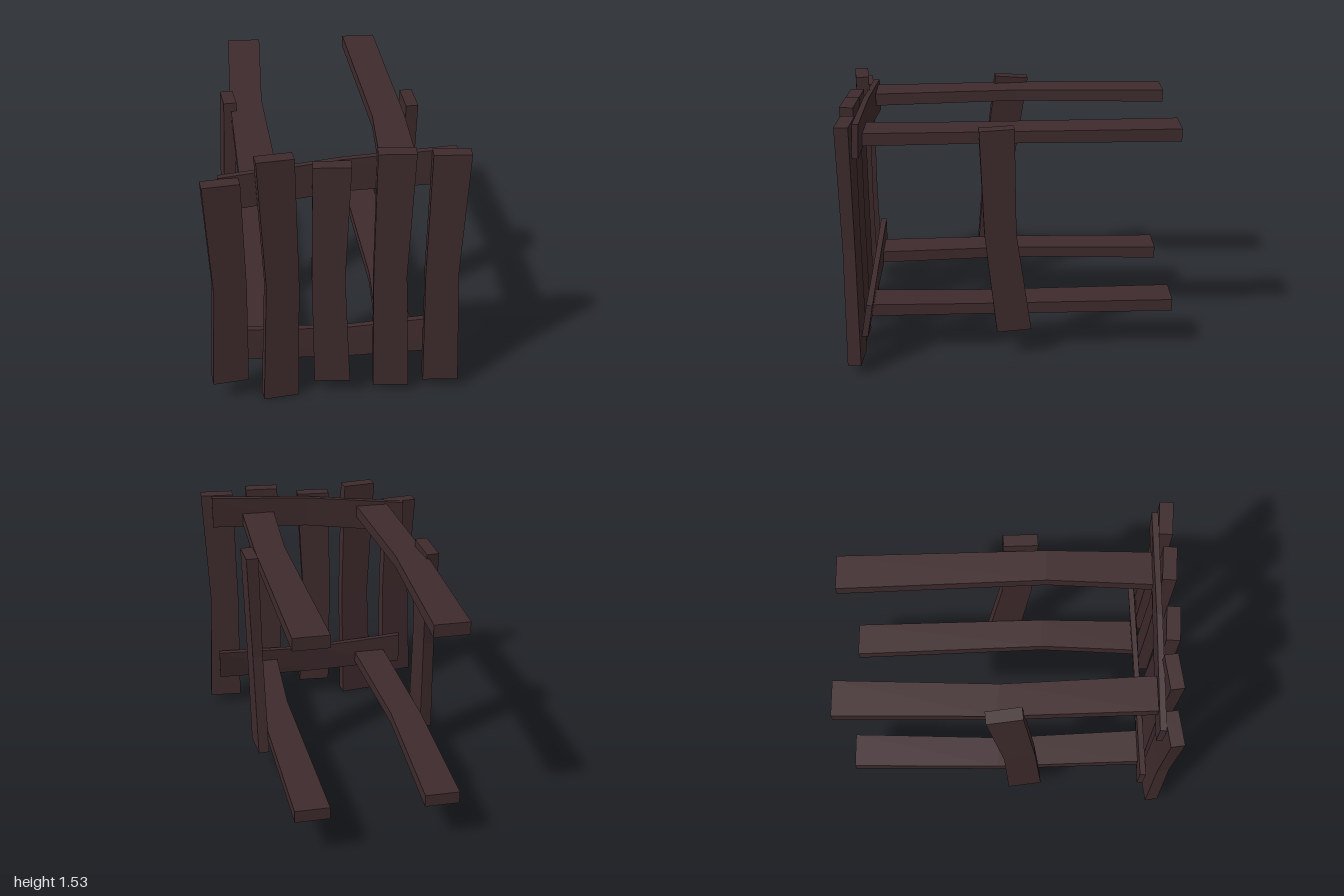
import * as THREE from 'three';

const V = (a) => new THREE.Vector3(...a);

// Bent plank: lofts rectangular sections [centre, full width vector, full thickness vector]
function plank(name, sections, material) {
  const length = V(sections[sections.length - 1][0]).sub(V(sections[0][0]));
  const positions = [];
  const index = [];
  sections.forEach(([centre, width, thick]) => {
    const c = V(centre), w = V(width).multiplyScalar(0.5), t = V(thick).multiplyScalar(0.5);
    if (w.clone().cross(t).dot(length) < 0) t.negate();
    [[-1, -1], [1, -1], [1, 1], [-1, 1]].forEach(([a, b]) => {
      positions.push(...c.clone().addScaledVector(w, a).addScaledVector(t, b).toArray());
    });
  });
  const last = (sections.length - 1) * 4;
  for (let s = 0; s < last; s += 4) {
    for (let i = 0; i < 4; i++) {
      const a = s + i, b = s + (i + 1) % 4;
      index.push(a, b, b + 4, a, b + 4, a + 4);
    }
  }
  index.push(0, 2, 1, 0, 3, 2, last, last + 1, last + 2, last, last + 2, last + 3);
  const indexed = new THREE.BufferGeometry();
  indexed.setAttribute('position', new THREE.Float32BufferAttribute(positions, 3));
  indexed.setIndex(index);
  const geometry = indexed.toNonIndexed();
  geometry.computeVertexNormals();
  const mesh = new THREE.Mesh(geometry, material);
  mesh.name = name;
  return mesh;
}

export function createModel() {
  const group = new THREE.Group();
  group.name = 'woodenFrame';
  const wood = new THREE.MeshStandardMaterial({ color: 0x3f2b2d });
  wood.name = 'dark wood';
  wood.flatShading = true;
  const add = (name, sections) => group.add(plank(name, sections, wood));

  // Upright front slats: end x, middle x, bottom y, top y, z, yaw
  [
    [-0.594, -0.573, 0.13, 1.39, 0.93, 0.2],
    [-0.315, -0.292, 0, 1.52, 0.907, 0.2],
    [-0.02, -0.04, 0.108, 1.475, 0.902, 0],
    [0.313, 0.294, 0.045, 1.53, 0.868, 0],
    [0.598, 0.577, 0.06, 1.51, 0.844, 0],
  ].forEach(([endX, midX, bottom, top, z, yaw], i) => {
    const c = Math.cos(yaw), s = Math.sin(yaw);
    const section = (x, y, w, t) => [[x, y, z], [w * c, 0, -w * s], [t * s, 0, t * c]];
    add('frontSlat' + (i + 1), [
      section(endX, bottom, 0.2, 0.078),
      section(midX, (bottom + top) / 2, 0.18, 0.07),
      section(endX, top, 0.2, 0.078),
    ]);
  });

  // Cross rails behind the slats
  add('upperRail', [
    [[-0.61, 1.292, 0.87], [0, 0.2, 0], [0, 0, 0.036]],
    [[0.03, 1.375, 0.825], [0, 0.187, 0], [0, 0, 0.032]],
    [[0.63, 1.408, 0.785], [0, 0.197, -0.01], [0, 0, 0.036]],
  ]);
  add('lowerRail', [
    [[-0.61, 0.325, 0.865], [0, 0.2, 0], [0, 0, 0.036]],
    [[0.03, 0.298, 0.82], [0, 0.187, -0.015], [0, 0, 0.033]],
    [[0.63, 0.318, 0.77], [0, 0.2, -0.035], [0, 0, 0.036]],
  ]);

  // Long beams running to the back, upper and lower pairs
  [['upper', 1.365], ['lower', 0.299]].forEach(([level, y]) => {
    add(level + 'RightBeam', [
      [[-0.55, y, -0.927], [0.2, 0, -0.015], [0, 0.074, 0]],
      [[-0.5, y, -0.03], [0.185, 0, 0.01], [0, 0.068, 0]],
      [[-0.4, y - 0.012, 0.835], [0.2, 0, -0.015], [0, 0.074, 0]],
    ]);
    add(level + 'LeftBeam', [
      [[0.19, y, -0.99], [0.2, 0, -0.015], [0, 0.074, 0]],
      [[0.314, y, 0.19], [0.183, 0, -0.01], [0, 0.068, 0]],
      [[0.34, y - 0.012, 0.79], [0.2, 0, -0.01], [0, 0.074, 0]],
    ]);
  });

  // Leaning side posts
  add('leftPost', [
    [[0.415, 0.183, -0.063], [0.03, -0.012, 0.2], [0.064, 0, -0.01]],
    [[0.428, 0.8, 0.015], [0.025, -0.01, 0.18], [0.06, 0, -0.008]],
    [[0.441, 1.435, 0.034], [0.024, -0.01, 0.195], [0.07, 0, -0.01]],
  ]);
  add('rightPost', [
    [[-0.628, 0.19, 0.137], [0.035, 0.018, 0.2], [0.072, 0, -0.012]],
    [[-0.62, 0.8, 0.1], [0.032, 0.015, 0.18], [0.066, 0, -0.01]],
    [[-0.598, 1.437, 0.012], [0.035, 0.018, 0.2], [0.072, 0, -0.012]],
  ]);

  return group;
}
